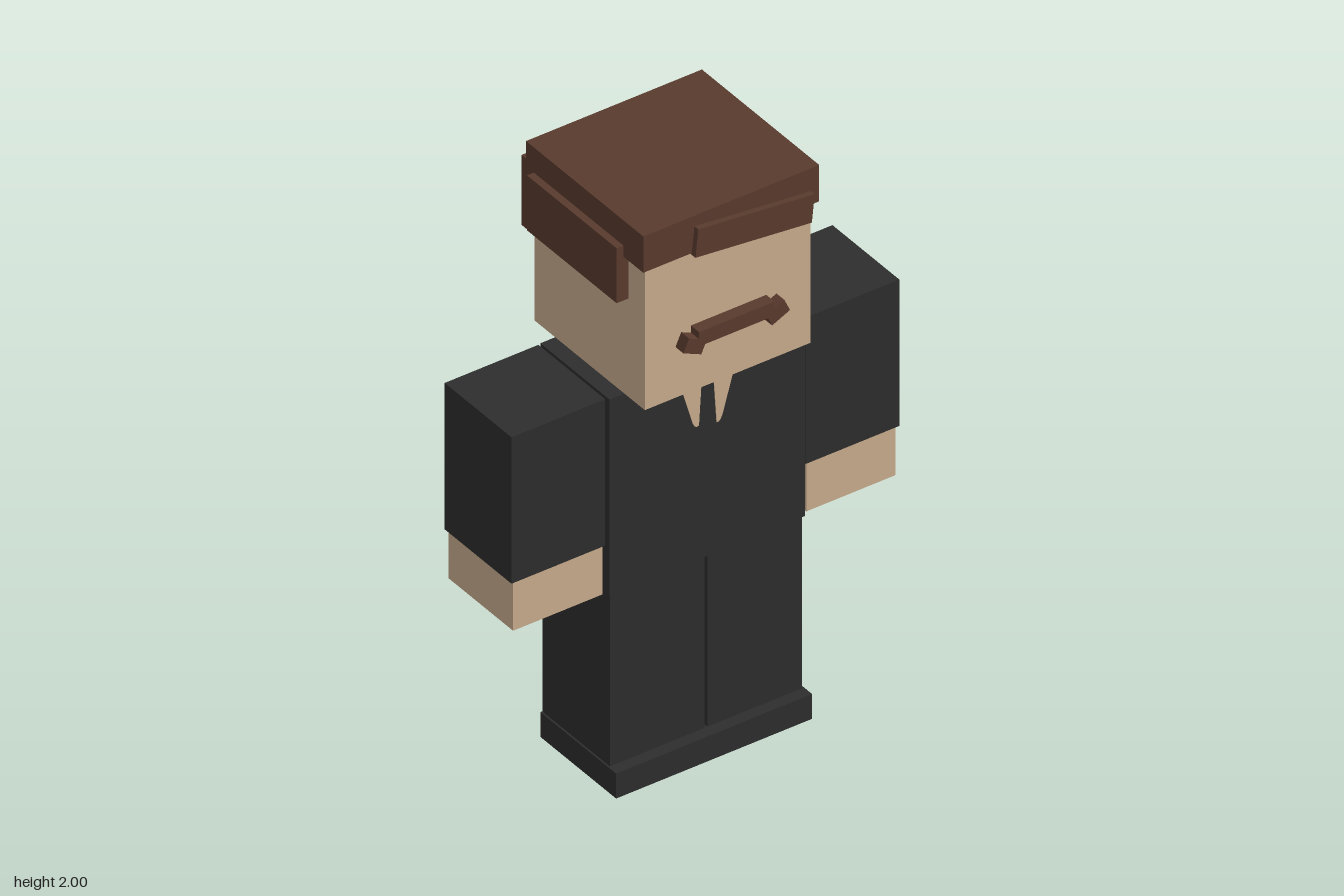
import * as THREE from 'three';

export function createModel() {
  const model = new THREE.Group();
  model.name = 'blockMan';

  const mat = (name, color) => {
    const m = new THREE.MeshStandardMaterial({ color });
    m.name = name;
    return m;
  };
  const skin = mat('skin', 0xc9ad8e);
  const suit = mat('suit', 0x2d2d2d);
  const hair = mat('hair', 0x593a2d);

  // Box given by its extents, optionally turned about z around its centre
  const box = (name, material, [x0, x1], [y0, y1], [z0, z1], turn = 0) => {
    const mesh = new THREE.Mesh(new THREE.BoxGeometry(x1 - x0, y1 - y0, z1 - z0), material);
    mesh.position.set((x0 + x1) / 2, (y0 + y1) / 2, (z0 + z1) / 2);
    mesh.rotation.z = turn;
    mesh.name = name;
    model.add(mesh);
    return mesh;
  };

  // Body
  box('shoes', suit, [-0.343, 0.343], [0, 0.087], [-0.172, 0.203]);
  box('torso', suit, [-0.342, 0.342], [0.69, 1.375], [-0.174, 0.169]);

  // Head and hair
  box('head', skin, [-0.29, 0.29], [1.375, 1.9], [-0.277, 0.27]);
  box('hairTop', hair, [-0.308, 0.308], [1.873, 2], [-0.293, 0.288]);
  box('hairBack', hair, [-0.307, 0.307], [1.693, 1.938], [-0.316, -0.258]);
  box('fringe', hair, [-0.135, 0.275], [1.846, 1.942], [0.26, 0.307], -0.104);

  // Moustache
  box('moustacheBar', hair, [-0.132, 0.132], [1.56, 1.61], [0.275, 0.316]);

  // Mirrored parts
  for (const s of [-1, 1]) {
    const side = s > 0 ? 'left' : 'right';
    const span = (a, b) => (s > 0 ? [a, b] : [-b, -a]);
    box(side + 'Leg', suit, span(0.005, 0.337), [0.08, 0.69], [-0.171, 0.163]);
    box(side + 'Sleeve', suit, span(0.351, 0.679), [0.863, 1.375], [-0.171, 0.16]);
    box(side + 'Hand', skin, span(0.357, 0.67), [0.692, 0.87], [-0.166, 0.155]);
    box(side + 'HairSide', hair, span(0.28, 0.332), [1.72, 1.912], [-0.254, 0.19]);
    box(side + 'MoustacheTip', hair, span(0.111, 0.18), [1.541, 1.589], [0.276, 0.315], s * 0.43);
  }

  // Open collar: a V of skin with the tie cut out of its middle
  const collar = new THREE.Shape();
  collar.moveTo(-0.11, 1.375);
  collar.lineTo(-0.052, 1.175);
  collar.quadraticCurveTo(-0.042, 1.15, -0.03, 1.16);
  collar.lineTo(-0.02, 1.325);
  collar.quadraticCurveTo(0, 1.37, 0.02, 1.325);
  collar.lineTo(0.032, 1.145);
  collar.quadraticCurveTo(0.045, 1.14, 0.055, 1.175);
  collar.lineTo(0.112, 1.375);
  const plate = new THREE.Mesh(
    new THREE.ExtrudeGeometry(collar, { depth: 0.003, bevelEnabled: false, curveSegments: 6 }), skin);
  plate.position.z = 0.168;
  plate.name = 'collar';
  model.add(plate);

  return model;
}
